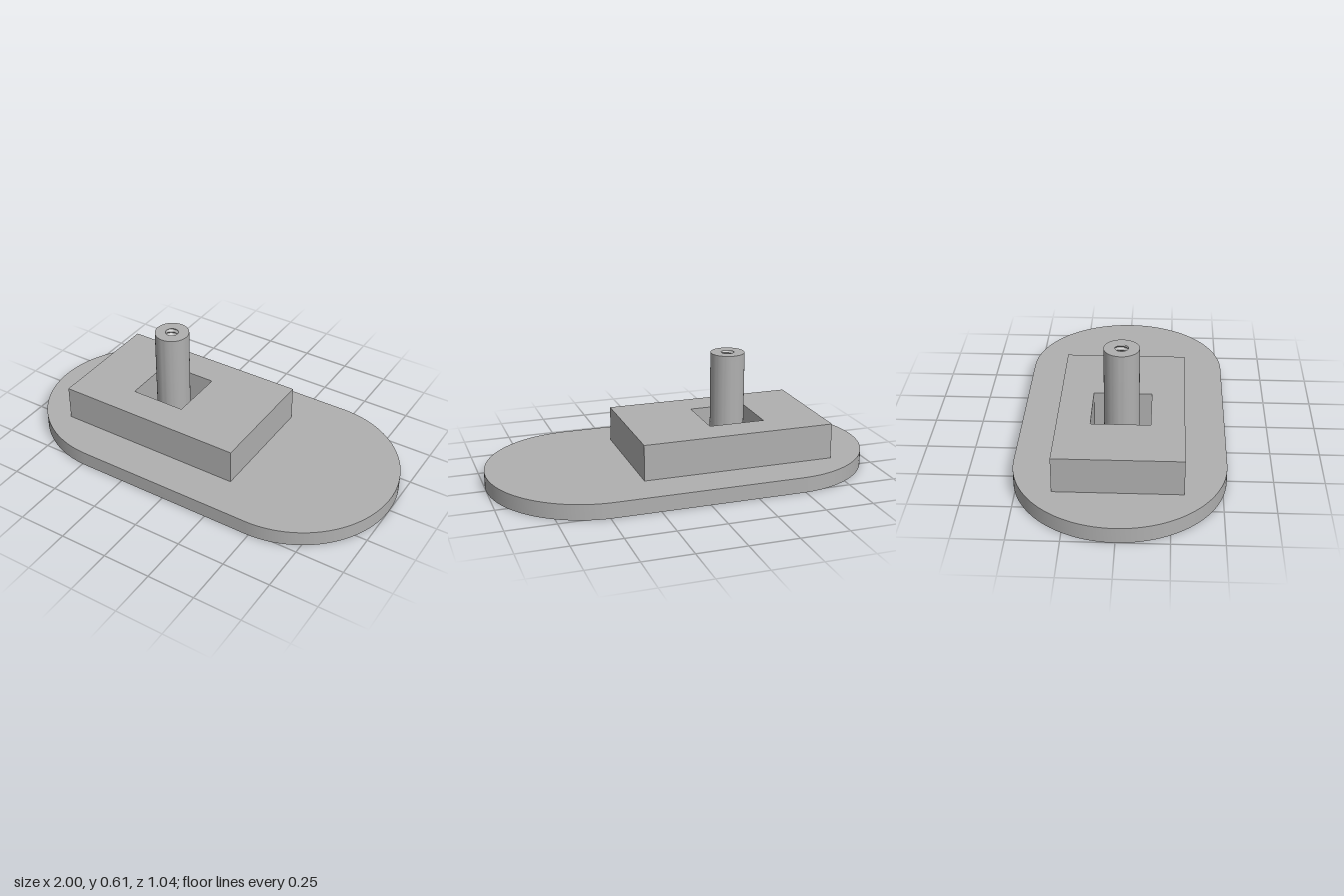
import * as THREE from 'three';
import { toCreasedNormals } from 'three/addons/utils/BufferGeometryUtils.js';

const BASE_TOP = 0.08, BLOCK_TOP = 0.265, SHAFT_TOP = 0.605;
const CENTRE_X = -0.275, SHAFT_R = 0.088, BORE_R = 0.042;

// Extrude a floor plan (shape x, y -> x, -z) upwards from y
function slab(shape, y, height) {
  const g = new THREE.ExtrudeGeometry(shape, { depth: height, bevelEnabled: false, curveSegments: 48 });
  g.rotateX(-Math.PI / 2);
  g.translate(0, y, 0);
  return toCreasedNormals(g, 0.5);
}

function rectangle(PathType, x0, x1, z) {
  return new PathType([[x0, -z], [x1, -z], [x1, z], [x0, z]].map(([x, y]) => new THREE.Vector2(x, y)));
}

function lathe(points, segments = 64) {
  return new THREE.LatheGeometry(points.map(([r, y]) => new THREE.Vector2(r, y)), segments);
}

// Zigzag bore wall sheared into a helix and clamped at both ends
function threadedWall(top, bottom, pitch) {
  const points = [];
  for (let y = top + pitch, i = 0; y > bottom - pitch; y -= pitch / 2, i++) {
    points.push([i % 2 ? BORE_R - 0.009 : BORE_R, y]);
  }
  const g = lathe(points, 48);
  const p = g.attributes.position, uv = g.attributes.uv;
  for (let i = 0; i < p.count; i++) {
    const y = p.getY(i) + pitch * uv.getX(i);
    p.setY(i, THREE.MathUtils.clamp(y, bottom, top));
  }
  return toCreasedNormals(g, 0.5);
}

export function createModel() {
  const model = new THREE.Group();
  const grey = new THREE.MeshStandardMaterial({ color: 0xb0b0b0 });
  grey.name = 'grey';
  const add = (name, geometry, x = 0) => {
    const mesh = new THREE.Mesh(geometry, grey);
    mesh.name = name;
    mesh.position.x = x;
    model.add(mesh);
  };

  // Base plate with rounded ends
  const r = 0.522;
  const plan = new THREE.Shape();
  plan.absarc(1 - r, 0, r, -Math.PI / 2, Math.PI / 2, false);
  plan.absarc(r - 1, 0, r, Math.PI / 2, Math.PI * 1.5, false);
  plan.closePath();
  add('basePlate', slab(plan, 0, BASE_TOP));

  // Block with a square pocket around the shaft
  const block = rectangle(THREE.Shape, -0.732, 0.272, 0.313);
  block.holes.push(rectangle(THREE.Path, CENTRE_X - 0.147, CENTRE_X + 0.147, 0.147));
  add('block', slab(block, BASE_TOP, BLOCK_TOP - BASE_TOP));

  // Shaft wall and its rim
  add('shaft', toCreasedNormals(lathe([
    [SHAFT_R, BASE_TOP], [SHAFT_R, SHAFT_TOP], [BORE_R - 0.004, SHAFT_TOP],
  ]), 0.5), CENTRE_X);

  // Threaded bore with a drilled tip
  const boreEnd = SHAFT_TOP - 0.2;
  add('threadedBore', threadedWall(SHAFT_TOP, boreEnd, 0.022), CENTRE_X);
  add('boreTip', lathe([[BORE_R, boreEnd], [0, boreEnd - 0.025]]), CENTRE_X);

  return model;
}
